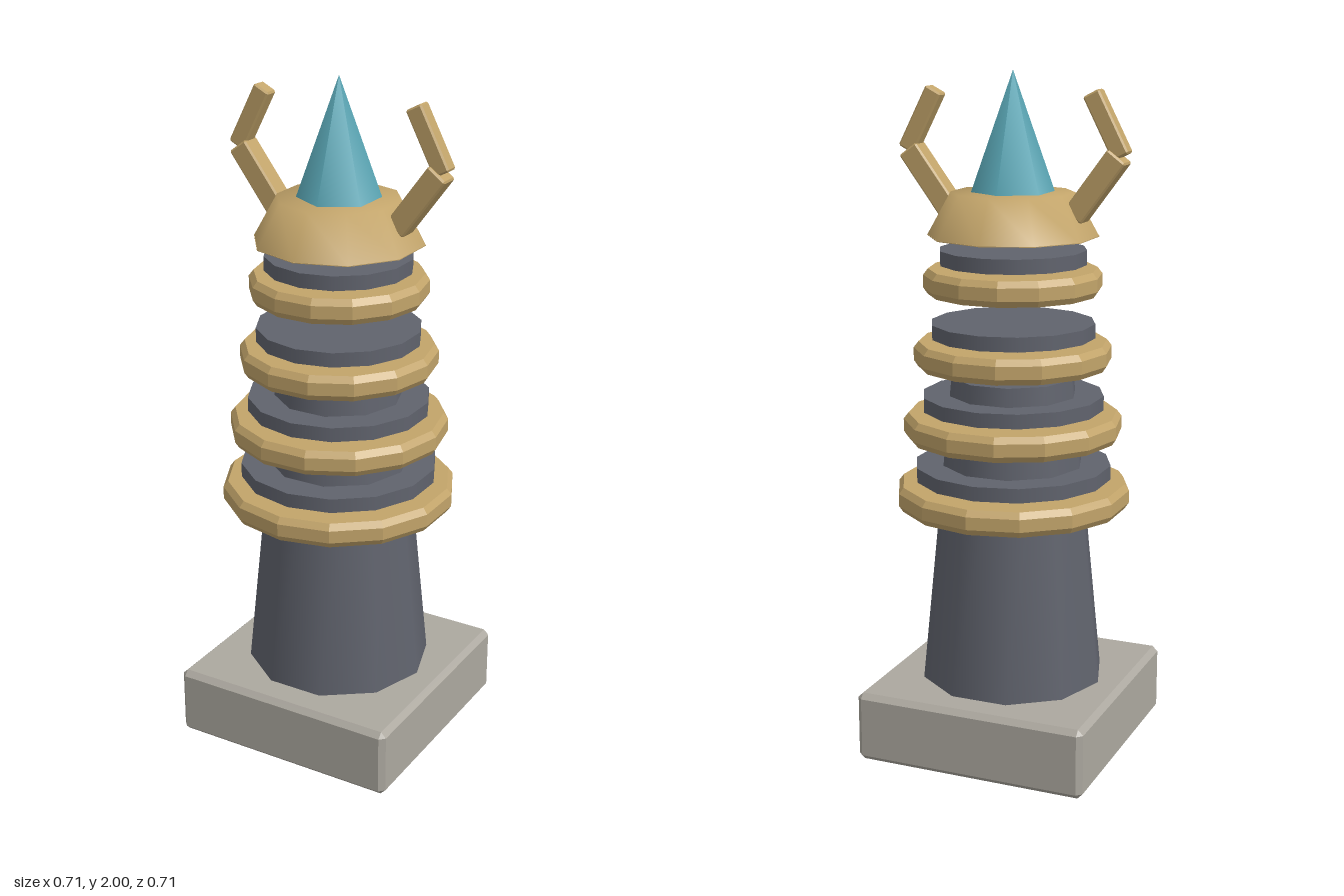
import * as THREE from 'three';
import { ConvexGeometry } from 'three/addons/geometries/ConvexGeometry.js';

const mat = (name, color) => Object.assign(new THREE.MeshStandardMaterial({ color }), { name });

// Box with chamfered edges: the hull of three boxes, each inset on two axes.
function chamferedBox(w, h, d, c) {
  const half = [w / 2, h / 2, d / 2];
  const points = [];
  for (let axis = 0; axis < 3; axis++)
    for (const sx of [-1, 1]) for (const sy of [-1, 1]) for (const sz of [-1, 1]) {
      const p = [sx, sy, sz].map((s, i) => s * (half[i] - (i === axis ? 0 : c)));
      points.push(new THREE.Vector3(...p));
    }
  return new ConvexGeometry(points);
}

// Faceted solid of revolution from [radius, y] pairs, bottom to top.
function facetedLathe(profile, sides) {
  const lathe = new THREE.LatheGeometry(profile.map(p => new THREE.Vector2(...p)), sides);
  const flat = lathe.toNonIndexed();
  flat.computeVertexNormals();
  return flat;
}

export function createModel() {
  const model = new THREE.Group();
  model.name = 'ringedTower';
  const stone = mat('pale stone', 0xaca89f);
  const slate = mat('dark slate', 0x60636d);
  const gold = mat('dull gold', 0xc2a46a);
  const crystal = mat('teal crystal', 0x5ba9b8);

  function add(name, geometry, material, x = 0, y = 0, z = 0, parent = model) {
    const mesh = new THREE.Mesh(geometry, material);
    mesh.name = name;
    mesh.position.set(x, y, z);
    parent.add(mesh);
    return mesh;
  }

  // Plinth and tapered column
  add('plinth', chamferedBox(0.706, 0.21, 0.706, 0.016), stone, 0, 0.105);
  const column = add('column', new THREE.CylinderGeometry(0.183, 0.275, 0.92, 10), slate, 0, 0.668);
  column.rotation.y = Math.PI / 2;

  // Four floating gold rings, each with a slate disc above it
  const tiers = [
    { y: 0.738, ring: 0.345, disc: 0.29, turn: 0 },
    { y: 0.946, ring: 0.32, disc: 0.267, turn: Math.PI / 2 },
    { y: 1.158, ring: 0.288, disc: 0.24, turn: Math.PI / 2 },
    { y: 1.37, ring: 0.258, disc: 0.214, turn: Math.PI / 2 },
  ];
  tiers.forEach(({ y, ring, disc, turn }, i) => {
    const profile = [[0, 0], [ring - 0.012, 0], [ring, 0.018], [ring, 0.055], [ring - 0.014, 0.073], [0, 0.073]];
    add('goldRing' + (i + 1), facetedLathe(profile, 14), gold, 0, y).rotation.y = turn;
    add('slateDisc' + (i + 1), new THREE.CylinderGeometry(disc, disc, 0.042, 14), slate, 0, y + 0.107);
  });

  // Smooth cap with a flat underside
  const capProfile = [[0.247, 1.535], [0.178, 1.66], [0, 1.662]].map(p => new THREE.Vector2(...p));
  add('cap', new THREE.LatheGeometry(capProfile, 10), gold);
  const under = new THREE.CylinderGeometry(0.247, 0.247, 0.002, 10);
  add('capUnderside', under, gold, 0, 1.536);

  // Crystal spike
  add('crystalSpike', new THREE.ConeGeometry(0.122, 0.345, 6), crystal, 0, 1.8275);

  // Bent prongs on both sides of the cap
  function prongPart(name, side, from, to, width, depth) {
    const dx = to[0] - from[0], dy = to[1] - from[1];
    const part = add(name, chamferedBox(width, Math.hypot(dx, dy), depth, 0.005), gold,
      side * (from[0] + to[0]) / 2, (from[1] + to[1]) / 2);
    part.rotation.z = -side * Math.atan2(dx, dy);
  }
  for (const [label, side] of [['left', 1], ['right', -1]]) {
    prongPart(label + 'ProngLower', side, [0.19, 1.6], [0.318, 1.772], 0.065, 0.062);
    prongPart(label + 'ProngUpper', side, [0.327, 1.77], [0.238, 1.942], 0.052, 0.045);
  }
  return model;
}
